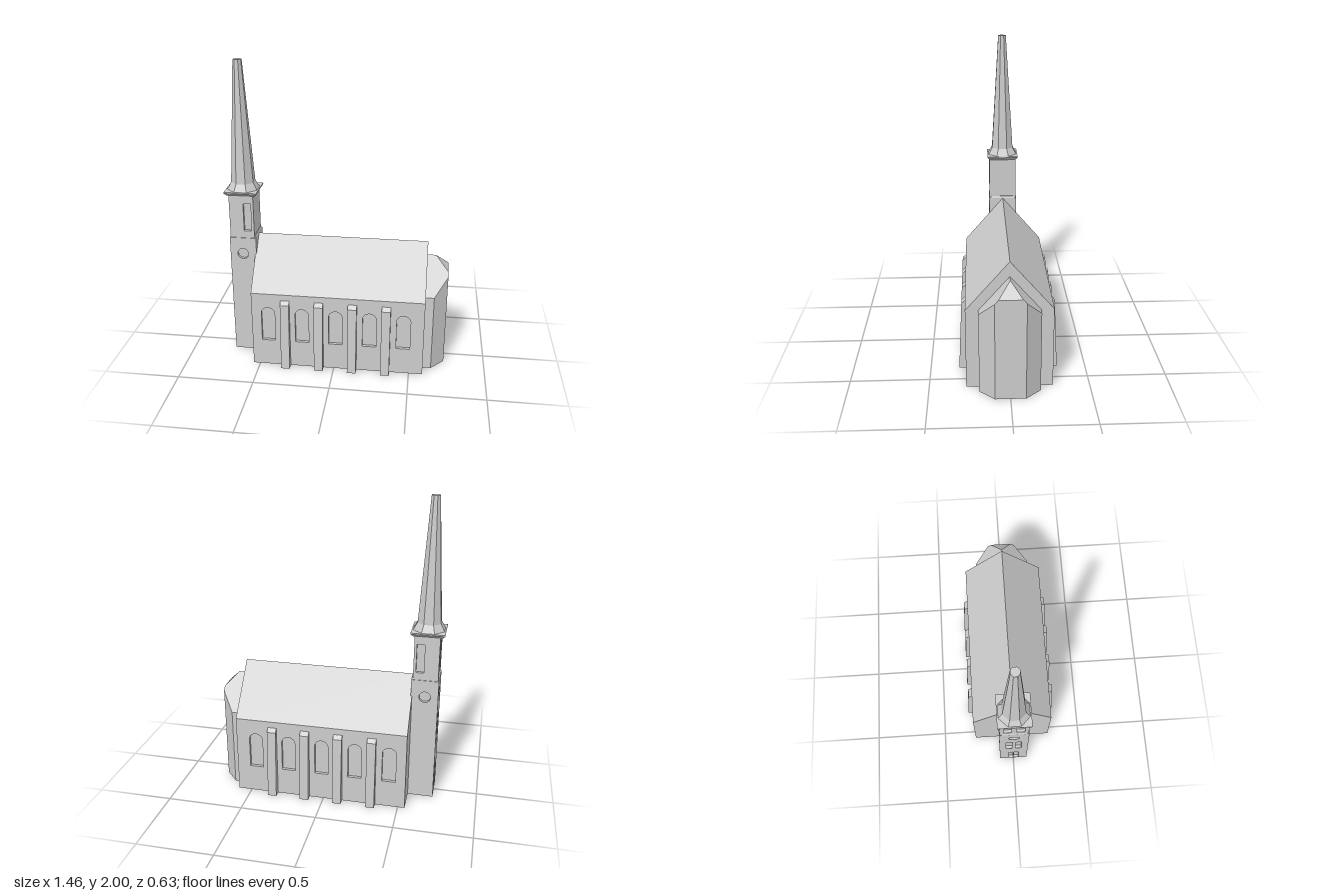
import * as THREE from 'three';

const stone = new THREE.MeshStandardMaterial({ color: 0xcccccc, flatShading: true });
stone.name = 'stone grey';

const TOWER_X = -0.627;
const RECESS = 0.02;

function add(parent, geometry, name, x = 0, y = 0, z = 0) {
  const mesh = new THREE.Mesh(geometry, stone);
  mesh.name = name;
  mesh.position.set(x, y, z);
  parent.add(mesh);
  return mesh;
}

function block(parent, name, x0, x1, y0, y1, z0, z1) {
  return add(parent, new THREE.BoxGeometry(x1 - x0, y1 - y0, z1 - z0), name,
    (x0 + x1) / 2, (y0 + y1) / 2, (z0 + z1) / 2);
}

function polygon(points) {
  return new THREE.Shape(points.map(([x, y]) => new THREE.Vector2(x, y)));
}

// Openings cut into the walls
function rectHole(x, y0, y1, w) {
  return polygon([[x - w / 2, y0], [x - w / 2, y1], [x + w / 2, y1], [x + w / 2, y0]]);
}

function archHole(x, y0, y1, w) {
  const r = w / 2;
  const path = new THREE.Path();
  path.moveTo(x - r, y0);
  path.lineTo(x + r, y0);
  path.lineTo(x + r, y1 - r);
  path.absarc(x, y1 - r, r, 0, Math.PI, false);
  path.closePath();
  return path;
}

function roundHole(x, y, r) {
  const path = new THREE.Path();
  path.absarc(x, y, r, 0, Math.PI * 2, false);
  return path;
}

// Wall panel with openings, extruded towards +z
function panel(x0, x1, y0, y1, holes) {
  const shape = polygon([[x0, y0], [x1, y0], [x1, y1], [x0, y1]]);
  shape.holes.push(...holes);
  return new THREE.ExtrudeGeometry(shape, { depth: RECESS, bevelEnabled: false, curveSegments: 10 });
}

// Square tapered block, given half widths
function squareFrustum(bottom, top, height) {
  const g = new THREE.CylinderGeometry(top * Math.SQRT2, bottom * Math.SQRT2, height, 4);
  return g.rotateY(Math.PI / 4);
}

function buildNave() {
  const nave = new THREE.Group();
  nave.name = 'nave';
  const x0 = -0.545, x1 = 0.59, half = 0.27, eave = 0.53;
  block(nave, 'naveCore', x0, x1, 0, eave, -half + RECESS, half - RECESS);

  const gable = polygon([[-half, eave], [half, eave], [0, 0.845]]);
  const roof = new THREE.ExtrudeGeometry(gable, { depth: x1 - x0, bevelEnabled: false });
  add(nave, roof.rotateY(Math.PI / 2), 'naveRoof', x0);

  const windows = [-0.435, -0.21, 0.012, 0.235, 0.457].map(x => archHole(x, 0.185, 0.43, 0.09));
  const wall = panel(x0, x1, 0, eave, windows);
  add(nave, wall, 'frontWall', 0, 0, half - RECESS);
  add(nave, wall, 'backWall', 0, 0, -half);

  // Buttresses leaning against both long walls
  const profile = polygon([[0.26, 0], [0.317, 0], [0.295, 0.465], [0.268, 0.49], [0.26, 0.49]]);
  const buttress = new THREE.ExtrudeGeometry(profile, { depth: 0.058, bevelEnabled: false });
  buttress.translate(0, 0, -0.029);
  for (const x of [-0.32, -0.098, 0.123, 0.343]) {
    for (const side of [1, -1]) {
      add(nave, buttress, 'buttress', x).rotation.y = -side * Math.PI / 2;
    }
  }
  return nave;
}

// Faceted choir with a hipped end, half the faces mirrored in z
function buildApse() {
  const a = 0.57, b = 0.645, c = 0.73, w = 0.19, n = 0.095, h = 0.073;
  const positions = [];
  const face = pts => {
    for (let i = 1; i < pts.length - 1; i++) positions.push(...pts[0], ...pts[i], ...pts[i + 1]);
  };
  const both = pts => {
    face(pts);
    face(pts.map(([x, y, z]) => [x, y, -z]).reverse());
  };
  both([[a, 0, w], [b, 0, w], [b, 0.53, w], [a, 0.53, w]]);
  both([[b, 0, w], [c, 0, n], [c, 0.64, n], [b, 0.53, w]]);
  both([[a, 0.53, w], [b, 0.53, w], [c, 0.64, n], [c, 0.665, h], [b, 0.75, 0], [a, 0.75, 0]]);
  face([[c, 0, n], [c, 0, -n], [c, 0.64, -n], [c, 0.665, -h], [c, 0.665, h], [c, 0.64, n]]);
  face([[c, 0.665, h], [c, 0.665, -h], [b, 0.75, 0]]);
  face([[a, 0, w], [a, 0, -w], [b, 0, -w], [c, 0, -n], [c, 0, n], [b, 0, w]]);
  const g = new THREE.BufferGeometry();
  g.setAttribute('position', new THREE.Float32BufferAttribute(positions, 3));
  g.computeVertexNormals();
  return g;
}

// One tower storey: solid core with panels on the front, back and west
function towerStorey(parent, name, x0, x1, half, y0, y1, sideHoles, westHoles) {
  block(parent, name + 'Core', x0 + RECESS, x1, y0, y1, -half + RECESS, half - RECESS);
  const side = panel(x0 + RECESS, x1, y0, y1, sideHoles);
  add(parent, side, name + 'FrontWall', 0, 0, half - RECESS);
  add(parent, side, name + 'BackWall', 0, 0, -half);
  const west = panel(-half, half, y0, y1, westHoles);
  add(parent, west, name + 'WestWall', x0 + RECESS).rotation.y = -Math.PI / 2;
}

function buildTower() {
  const tower = new THREE.Group();
  tower.name = 'tower';

  const pair = (x, y0, y1, w, gap) => [-1, 1].map(s => rectHole(x + s * gap, y0, y1, w));
  towerStorey(tower, 'lowerTower', -0.712, -0.537, 0.098, 0, 0.845,
    [roundHole(TOWER_X, 0.73, 0.037)],
    [roundHole(0, 0.73, 0.037), ...pair(0, 0.38, 0.59, 0.042, 0.032), ...pair(0, 0.004, 0.22, 0.034, 0.02)]);
  add(tower, squareFrustum(0.088, 0.082, 0.015), 'towerLedge', -0.624, 0.8525, 0);
  towerStorey(tower, 'belfry', -0.706, -0.546, 0.094, 0.845, 1.14,
    pair(TOWER_X, 0.895, 1.085, 0.05, 0.039),
    pair(0, 0.895, 1.085, 0.052, 0.043));

  // Cornice and octagonal spire
  add(tower, squareFrustum(0.09, 0.107, 0.02), 'corniceFlare', TOWER_X, 1.145, 0);
  add(tower, squareFrustum(0.107, 0.107, 0.008), 'corniceSlab', TOWER_X, 1.159, 0);
  const k = 1 / Math.cos(Math.PI / 8);
  const spire = new THREE.LatheGeometry(
    [[0, 1.16], [0.1, 1.16], [0.073, 1.21], [0.026, 2], [0, 2]].map(([r, y]) => new THREE.Vector2(r * k, y)), 8);
  add(tower, spire.rotateY(Math.PI / 8), 'spire', TOWER_X);
  return tower;
}

export function createModel() {
  const church = new THREE.Group();
  church.name = 'church';
  church.add(buildNave(), buildTower());
  add(church, buildApse(), 'apse');
  return church;
}
